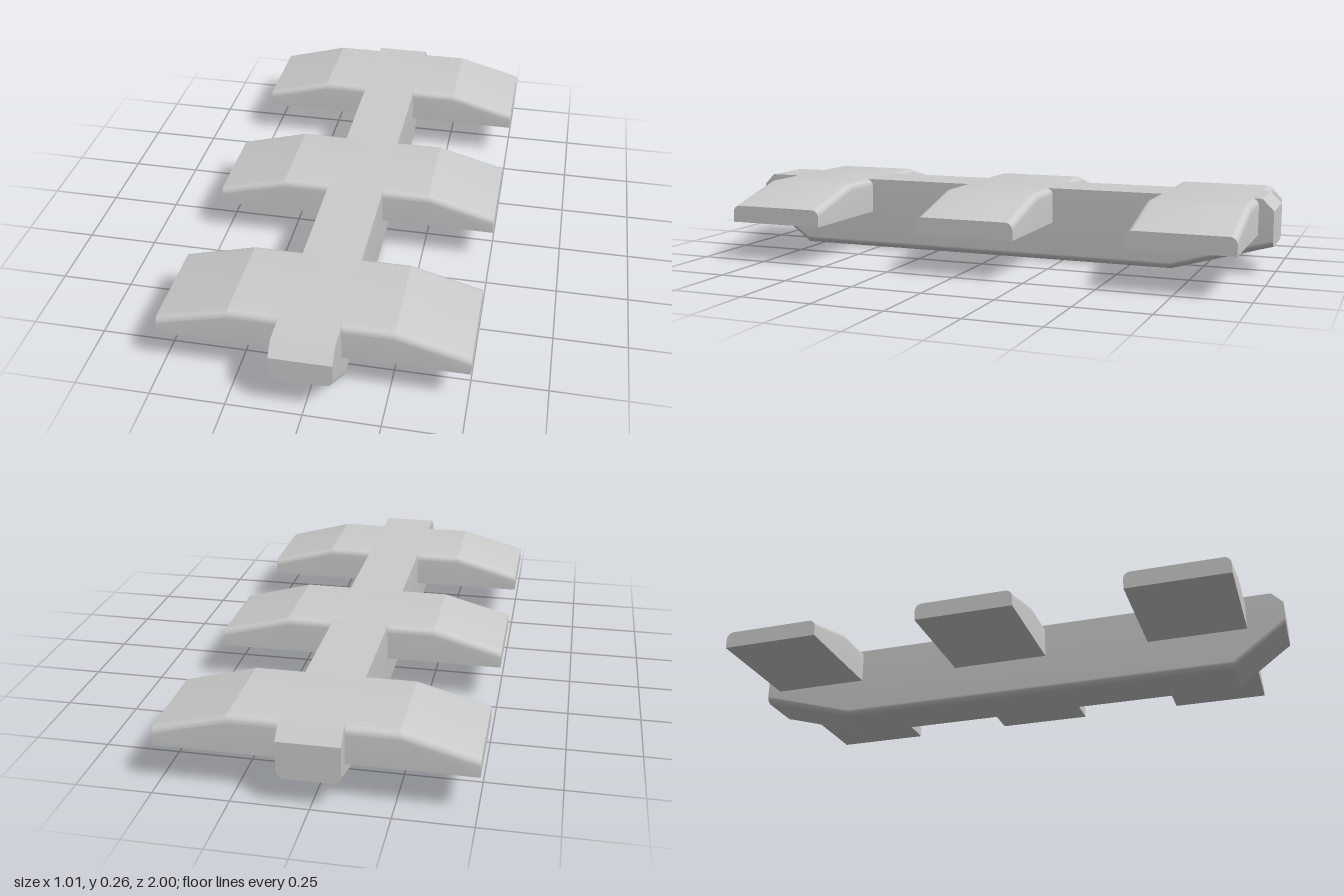
import * as THREE from 'three';
import { toCreasedNormals } from 'three/addons/utils/BufferGeometryUtils.js';

const material = new THREE.MeshStandardMaterial({ color: 0xcccccc });
const STEPS = 8;

// Rectangle outline, counter-clockwise, with rounded bottom and/or top corners
function section(half, y0, y1, rBottom, rTop) {
  const corners = [
    [-1, y0, rBottom, Math.PI], [1, y0, rBottom, 1.5 * Math.PI],
    [1, y1, rTop, 0], [-1, y1, rTop, 0.5 * Math.PI],
  ];
  const points = [];
  corners.forEach(([side, y, r, start], i) => {
    const cx = side * (half - r);
    const cy = y + (i < 2 ? r : -r);
    const n = r > 0 ? STEPS : 0;
    for (let k = 0; k <= n; k++) {
      const a = start + (n ? (k / n) * Math.PI / 2 : 0);
      points.push([cx + r * Math.cos(a), cy + r * Math.sin(a)]);
    }
  });
  return points;
}

// Closed solid through stations [z, bottom, top], given in rising z
function loft(stations, half, rBottom, rTop) {
  const positions = [];
  const index = [];
  const rings = stations.map(([, y0, y1]) => section(half, y0, y1, rBottom, rTop));
  const n = rings[0].length;
  rings.forEach((ring, s) => ring.forEach(([x, y]) => positions.push(x, y, stations[s][0])));
  for (let s = 0; s < rings.length - 1; s++) {
    for (let i = 0; i < n; i++) {
      const a = s * n + i;
      const b = s * n + (i + 1) % n;
      index.push(a, b, b + n, a, b + n, a + n);
    }
  }
  const last = (rings.length - 1) * n;
  for (let i = 1; i < n - 1; i++) {
    index.push(0, i + 1, i, last, last + i, last + i + 1);
  }
  const geometry = new THREE.BufferGeometry();
  geometry.setAttribute('position', new THREE.Float32BufferAttribute(positions, 3));
  geometry.setIndex(index);
  return toCreasedNormals(geometry, 0.23);
}

export function createModel() {
  const group = new THREE.Group();
  group.name = 'ribbedBeam';

  // Long central beam with raked ends and rounded lower edges
  const beam = new THREE.Mesh(loft([
    [-1, 0.1, 0.225], [-0.96, 0.089, 0.265], [-0.65, 0, 0.265],
    [0.81, 0, 0.265], [0.96, 0.111, 0.265], [1, 0.14, 0.225],
  ], 0.1, 0.025, 0), material);
  beam.name = 'centralBeam';
  group.add(beam);

  // Three crossbars with tapered arms and rounded upper edges
  const barGeometry = loft([
    [-0.505, 0.14, 0.2], [-0.265, 0.14, 0.265],
    [0.265, 0.14, 0.265], [0.505, 0.14, 0.2],
  ], 0.176, 0, 0.025).rotateY(Math.PI / 2);
  [['front', 0.692], ['middle', -0.04], ['rear', -0.773]].forEach(([place, z]) => {
    const bar = new THREE.Mesh(barGeometry, material);
    bar.name = `${place}Crossbar`;
    bar.position.z = z;
    group.add(bar);
  });

  return group;
}
